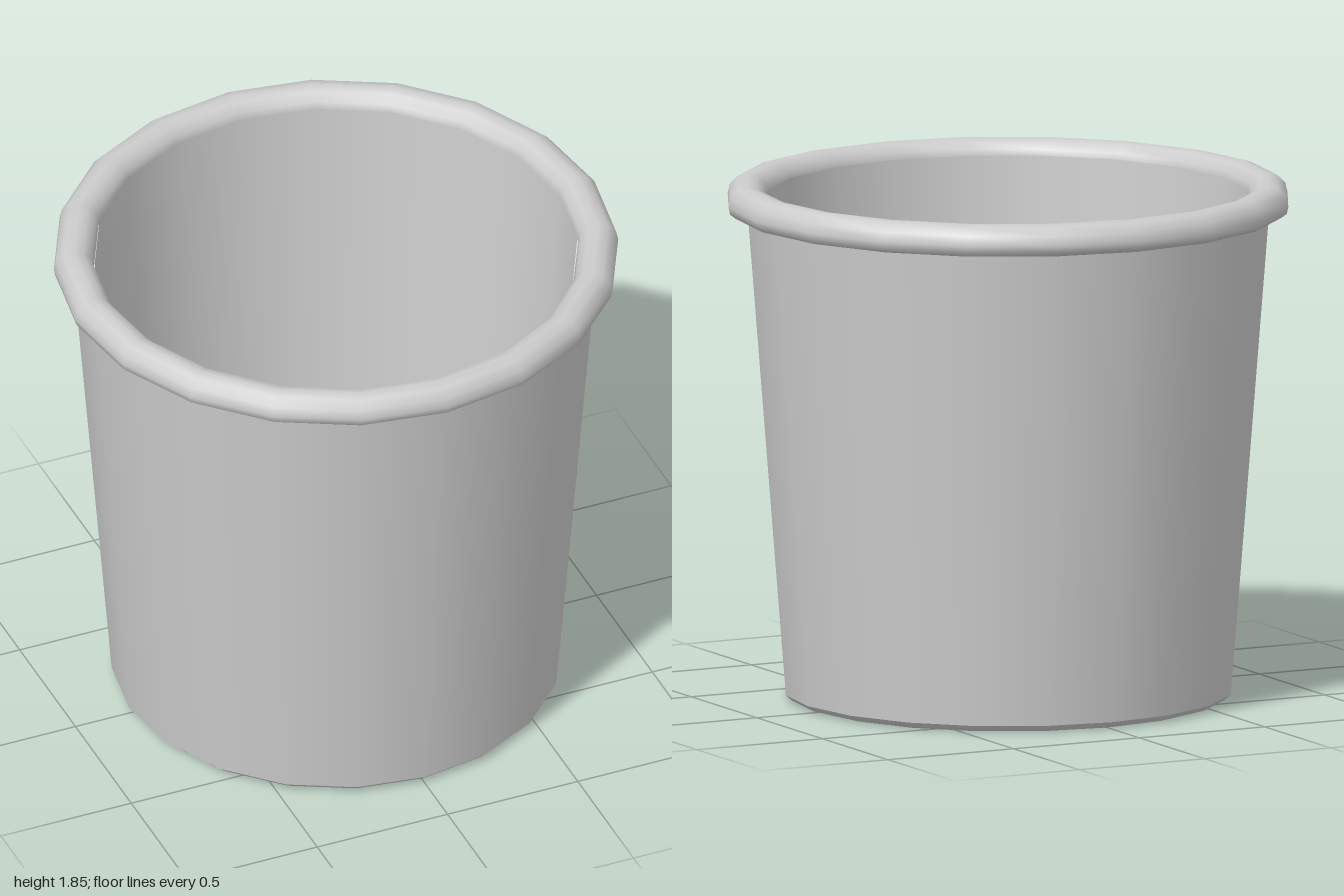
import * as THREE from 'three';

const SIDES = 20;

export function createModel() {
  const model = new THREE.Group();
  const grey = new THREE.MeshStandardMaterial({ color: 0xcccccc });
  grey.name = 'light grey';

  const add = (name, geometry) => {
    const mesh = new THREE.Mesh(geometry, grey);
    mesh.name = name;
    model.add(mesh);
    return mesh;
  };
  // Surface of revolution from [radius, height] pairs
  const turn = (name, profile) =>
    add(name, new THREE.LatheGeometry(profile.map(([r, y]) => new THREE.Vector2(r, y)), SIDES));

  // Tapered bucket wall, outside and inside
  turn('outerWall', [[0.795, 0.025], [0.932, 1.76]]);
  turn('innerWall', [[0.855, 1.79], [0.71, 0.02]]);

  // Rounded foot ring under the wall
  turn('footRing', [[0.71, 0.02], [0.73, 0.004], [0.755, 0], [0.775, 0.006], [0.795, 0.025]]);

  // Rolled rim: closed rounded section
  turn('rim', [
    [0.9, 1.735], [0.975, 1.735], [0.995, 1.75], [1, 1.775], [0.992, 1.81], [0.965, 1.837],
    [0.93, 1.845], [0.895, 1.837], [0.868, 1.81], [0.858, 1.775], [0.868, 1.745], [0.9, 1.735],
  ]);

  // Floor, seen from above and below
  const disc = new THREE.CircleGeometry(0.71, SIDES).rotateX(-Math.PI / 2);
  add('floor', disc).position.y = 0.02;
  add('underside', disc.clone().rotateX(Math.PI)).position.y = 0.018;

  return model;
}
